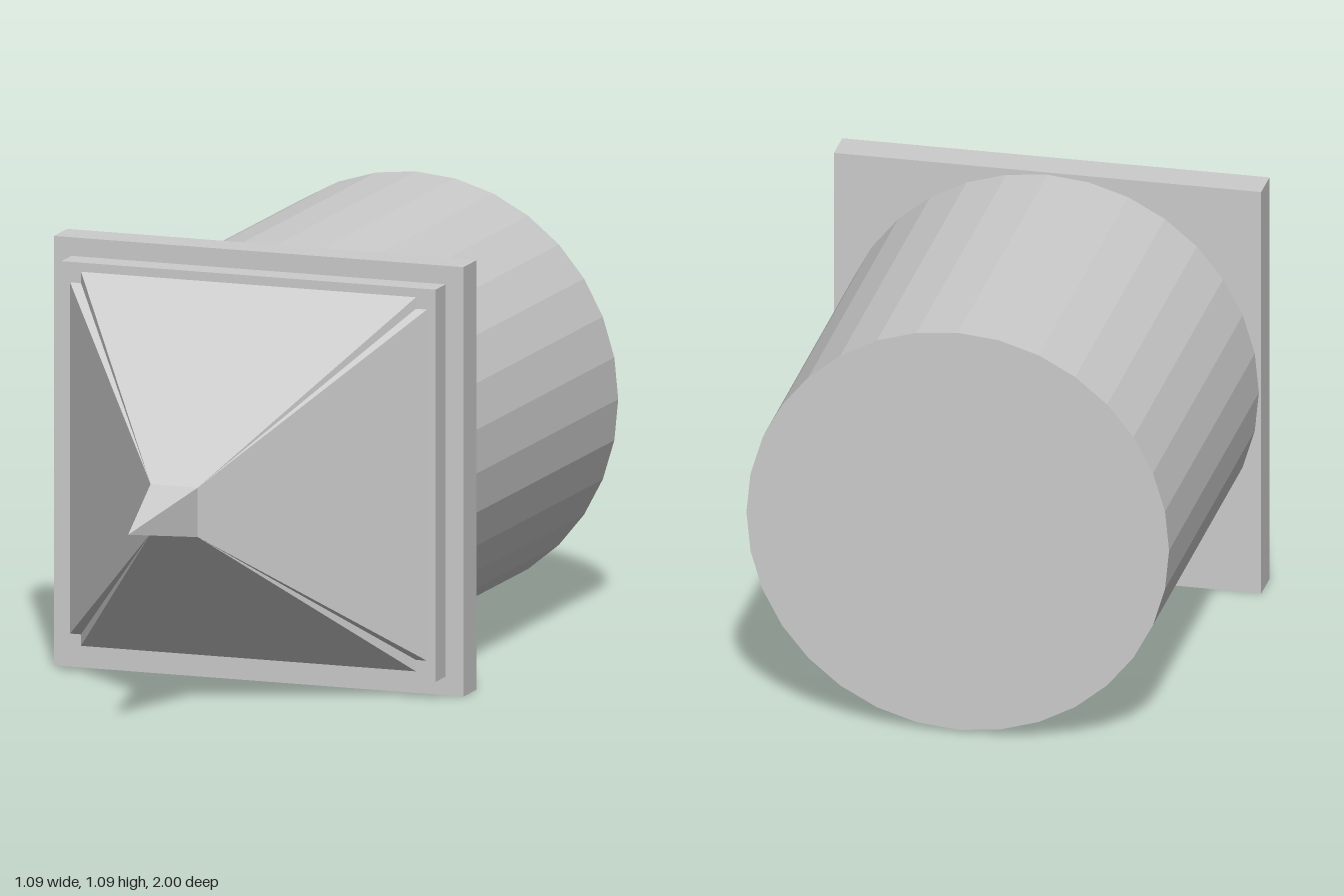
import * as THREE from 'three';

const CY = 0.543; // height of the long axis
const TIP = 0.0625; // half width where the head meets the spike
const Z = { tail: -1, back: 0, plate: 0.093, step: 0.163, neck: 0.68, tip: 1 };

const material = new THREE.MeshStandardMaterial({ color: 0xcccccc, flatShading: true });

export function createModel() {
  const model = new THREE.Group();

  const add = (name, geometry, z0, z1) => {
    const mesh = new THREE.Mesh(geometry, material);
    mesh.name = name;
    mesh.position.set(0, CY, (z0 + z1) / 2);
    model.add(mesh);
  };

  // Square slab between two depths
  const slab = (name, size, z0, z1) => add(name, new THREE.BoxGeometry(size, size, z1 - z0), z0, z1);

  // Box whose front end is drawn in to the small neck square
  const frustum = (name, halfX, halfY) => {
    const g = new THREE.BoxGeometry(2 * halfX, 2 * halfY, Z.neck - Z.step);
    const p = g.attributes.position;
    for (let i = 0; i < p.count; i++) {
      if (p.getZ(i) > 0) p.setXY(i, Math.sign(p.getX(i)) * TIP, Math.sign(p.getY(i)) * TIP);
    }
    g.computeVertexNormals();
    add(name, g, Z.step, Z.neck);
  };

  // Round body behind the plates
  const body = new THREE.CylinderGeometry(0.537, 0.537, Z.back - Z.tail, 32).rotateX(Math.PI / 2);
  add('body', body, Z.tail, Z.back);

  // Stepped square plates
  slab('basePlate', 1.086, Z.back, Z.plate);
  slab('stepPlate', 0.992, Z.plate, Z.step);

  // Two crossed frustums leave notched corners on the head
  frustum('headWide', 0.473, 0.444);
  frustum('headTall', 0.444, 0.473);

  // Four-sided spike
  const spike = new THREE.ConeGeometry(TIP * Math.SQRT2, Z.tip - Z.neck, 4)
    .rotateY(Math.PI / 4)
    .rotateX(Math.PI / 2);
  add('spike', spike, Z.neck, Z.tip);

  return model;
}
